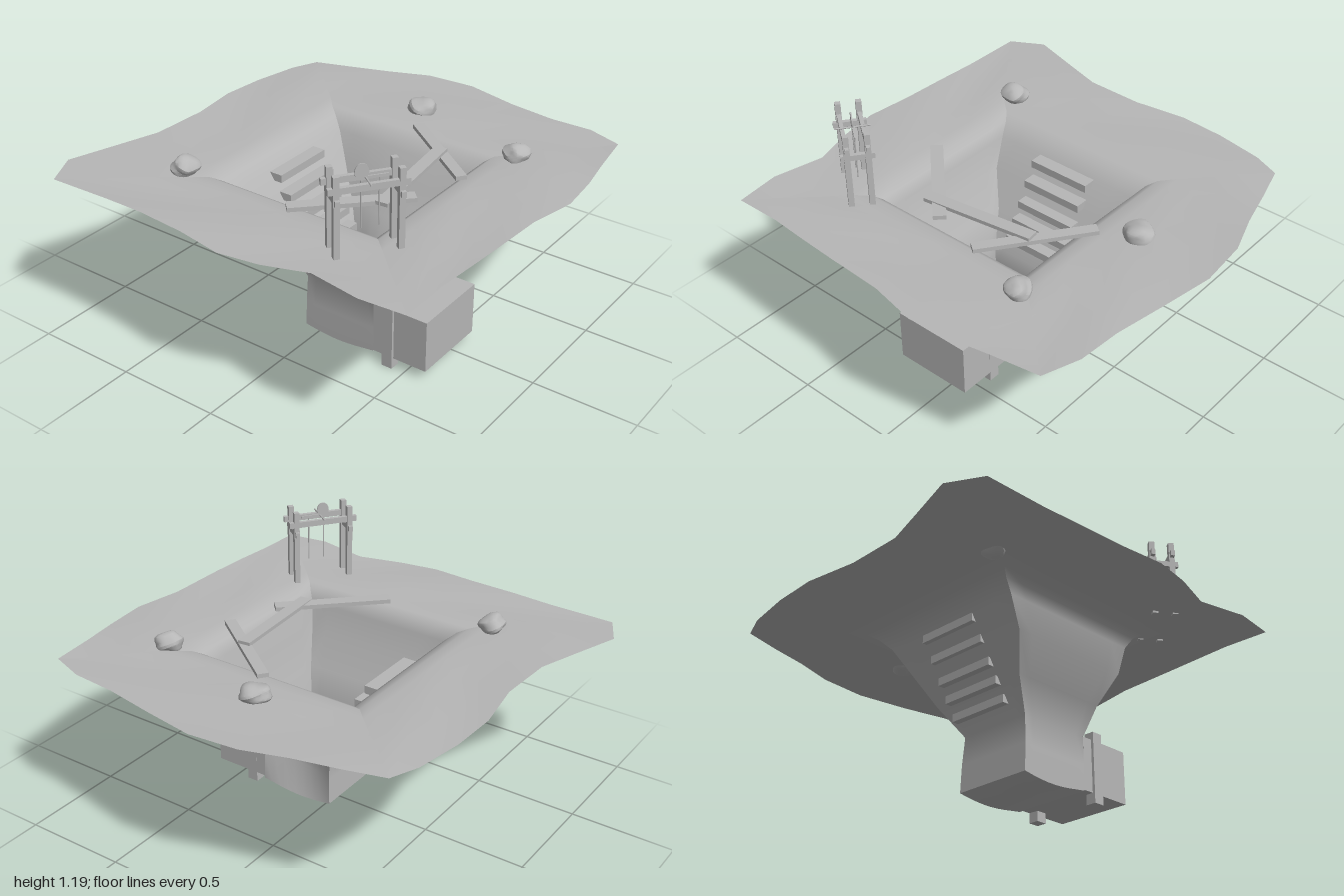
import * as THREE from 'three';
import { toCreasedNormals } from 'three/addons/utils/BufferGeometryUtils.js';

const stone = new THREE.MeshStandardMaterial({ color: 0xb6b6b6, side: THREE.DoubleSide });
stone.name = 'plain grey';

const SEG = 8;
const lerp = THREE.MathUtils.lerp;

// Ragged outer edge of the ground, eight points per side, starting at the back left corner
const outline = [
  [-.785, -.78], [-.6, -.835], [-.4, -.89], [-.2, -.96], [.04, -.98], [.3, -.93], [.54, -.89], [.75, -.88],
  [.92, -.82], [.95, -.6], [.98, -.42], [1, -.21], [.955, .02], [.945, .3], [.935, .48], [.92, .67],
  [.92, .9], [.71, .92], [.46, .875], [.25, .94], [.06, .97], [-.16, .94], [-.4, .925], [-.6, .92],
  [-.92, .925], [-1, .765], [-.93, .55], [-.86, .33], [-.85, .05], [-.89, -.2], [-.88, -.42], [-.84, -.65],
];

// Pit cross-sections: x0, x1, z0, z1, y
const sections = [
  [-.46, .58, -.47, .57, .808], [-.4, .51, -.405, .5, .8], [-.355, .48, -.37, .465, .78],
  [-.3, .45, -.33, .44, .73], [-.22, .43, -.27, .41, .6], [-.13, .375, -.2, .32, .45],
  [-.04, .335, -.11, .265, .302], [-.045, .33, -.125, .27, .17], [-.05, .33, -.13, .27, .04],
];

const floorY = x => .045 - .022 * Math.sin(Math.PI * THREE.MathUtils.clamp((x + .08) / .4, 0, 1));

function sectionRing([x0, x1, z0, z1, y], isFloor) {
  const corners = [[x0, z0], [x1, z0], [x1, z1], [x0, z1]];
  const ring = [];
  for (let s = 0; s < 4; s++) {
    const a = corners[s], b = corners[(s + 1) % 4];
    for (let i = 0; i < SEG; i++) {
      const t = i / SEG;
      const x = lerp(a[0], b[0], t);
      let z = lerp(a[1], b[1], t);
      // back wall bows inwards lower down
      if (s === 0 && !isFloor) z += .035 * Math.sin(Math.PI * t) * (.81 - y) / .5;
      ring.push([x, isFloor ? floorY(x) : y, z]);
    }
  }
  return ring;
}

function mesh(name, geometry, parent) {
  const m = new THREE.Mesh(geometry, stone);
  m.name = name;
  parent.add(m);
  return m;
}

function box(name, parent, size, pos) {
  const m = mesh(name, new THREE.BoxGeometry(...size), parent);
  m.position.set(...pos);
  return m;
}

// Box stretched between two points
function beam(name, parent, a, b, width, height) {
  const start = new THREE.Vector3(...a), end = new THREE.Vector3(...b);
  const m = mesh(name, new THREE.BoxGeometry(width, height, start.distanceTo(end)), parent);
  m.position.copy(start).add(end).multiplyScalar(.5);
  m.lookAt(end);
  return m;
}

// One of the four sides of the ground and pit
function groundSide(rings, s) {
  const pos = [], index = [], w = SEG + 1;
  for (const ring of rings)
    for (let i = 0; i <= SEG; i++) pos.push(...ring[(s * SEG + i) % ring.length]);
  for (let r = 0; r < rings.length - 1; r++) {
    // the tunnel opens through the lower right-hand wall
    if (s === 1 && r >= rings.length - 3) continue;
    for (let i = 0; i < SEG; i++) {
      const a = r * w + i, b = a + w;
      index.push(a, b, a + 1, b, b + 1, a + 1);
    }
  }
  const g = new THREE.BufferGeometry();
  g.setAttribute('position', new THREE.Float32BufferAttribute(pos, 3));
  g.setIndex(index);
  g.computeVertexNormals();
  return g;
}

function rock(parent, pos, size, seed) {
  const g = new THREE.IcosahedronGeometry(1, 3);
  const p = g.attributes.position, v = new THREE.Vector3();
  for (let i = 0; i < p.count; i++) {
    v.fromBufferAttribute(p, i);
    const k = .92 + .1 * Math.sin(v.x * 3 + seed) * Math.cos(v.z * 3.4 + seed * 2) + .07 * Math.sin(v.y * 5 + v.x * 4 + seed);
    v.multiplyScalar(k);
    p.setXYZ(i, v.x * size[0], v.y * size[1], v.z * size[2]);
  }
  const m = mesh('rock', toCreasedNormals(g, .6), parent);
  m.position.set(...pos);
}

export function createModel() {
  const model = new THREE.Group();

  // Ground sheet running down into the pit
  const outer = outline.map(([x, z]) => [x, .812 + .006 * Math.sin(x * 6 + z * 4), z]);
  const first = sectionRing(sections[0], false);
  const between = t => outer.map((p, i) => [
    lerp(p[0], first[i][0], t), .811 + .005 * Math.sin(i * 1.2 + t * 5), lerp(p[2], first[i][2], t)]);
  const rings = [outer, between(.35), between(.7),
    ...sections.map((s, i) => sectionRing(s, i === sections.length - 1))];
  const ground = new THREE.Group();
  ground.name = 'groundAndPit';
  model.add(ground);
  ['backGround', 'leftGround', 'frontGround', 'rightGround'].forEach((n, s) => mesh(n, groundSide(rings, s), ground));

  // Uneven pit floor
  const floor = new THREE.PlaneGeometry(.38, .4, SEG, SEG).rotateX(-Math.PI / 2).translate(.14, 0, .07);
  const fp = floor.attributes.position;
  for (let i = 0; i < fp.count; i++) {
    const dip = Math.sin(Math.PI * (fp.getZ(i) + .13) / .4) * Math.sin(Math.PI * i % (SEG + 1) / SEG);
    fp.setY(i, floorY(fp.getX(i)) + .004 * dip);
  }
  floor.computeVertexNormals();
  mesh('pitFloor', floor, model);

  // Tunnel, open towards the pit
  const tunnel = new THREE.BoxGeometry(.28, .255, .39);
  tunnel.setIndex([...tunnel.index.array].filter((_, i) => i < 6 || i >= 12));
  mesh('tunnel', tunnel, model).position.set(.47, .177, .075);
  for (const z of [.257, -.095]) box('tunnelPost', model, [.055, .34, .052], [.412, .17, z]);

  // Steps down the pit wall
  [[-.3, .71], [-.247, .625], [-.2, .53], [-.155, .455], [-.11, .38]].forEach(([x, y]) =>
    box('step', model, [.066, .038, .32], [x + .033, y, .04]));

  // Loose planks across the rim
  beam('plank', model, [.08, .822, -.435], [.522, .822, -.11], .052, .02);
  beam('plank', model, [.315, .838, -.27], [.375, .822, .285], .06, .018);
  beam('plank', model, [.06, .815, .53], [.452, .818, .14], .06, .02);

  // Rocks
  rock(model, [0, .838, -.595], [.073, .045, .075], 1);
  rock(model, [.605, .83, -.437], [.068, .052, .066], 2.7);
  rock(model, [-.5, .838, .535], [.065, .054, .074], 4.4);

  // Hoist frame: long rails run along local z, cross rails along local x
  const hoist = new THREE.Group();
  hoist.name = 'hoist';
  hoist.position.set(.508, 0, .588);
  hoist.rotation.y = -Math.atan2(.16, .217);
  model.add(hoist);
  for (const x of [-.046, .046]) {
    for (const z of [-.135, .135]) box('hoistPost', hoist, [.026, .37, .026], [x, .985, z]);
    box('longRail', hoist, [.018, .028, .34], [x, 1.106, 0]);
  }
  for (const z of [-.135, .135]) box('crossRail', hoist, [.15, .026, .02], [0, 1.06, z]);

  // Axle, wheel and hanging ropes
  const axle = mesh('axle', new THREE.CylinderGeometry(.004, .004, .16, 8).rotateZ(Math.PI / 2), hoist);
  axle.position.set(0, 1.124, 0);
  const wheel = mesh('wheel', new THREE.CylinderGeometry(1, 1, .006, 16).rotateZ(Math.PI / 2).scale(1, .038, .03), hoist);
  wheel.position.set(0, 1.148, .015);
  box('handle', hoist, [.006, .012, .1], [0, 1.122, -.045]);
  for (const z of [.018, -.058]) {
    const rope = mesh('rope', new THREE.CylinderGeometry(.003, .003, .22, 6), hoist);
    rope.position.set(0, 1.01, z);
  }
  return model;
}
